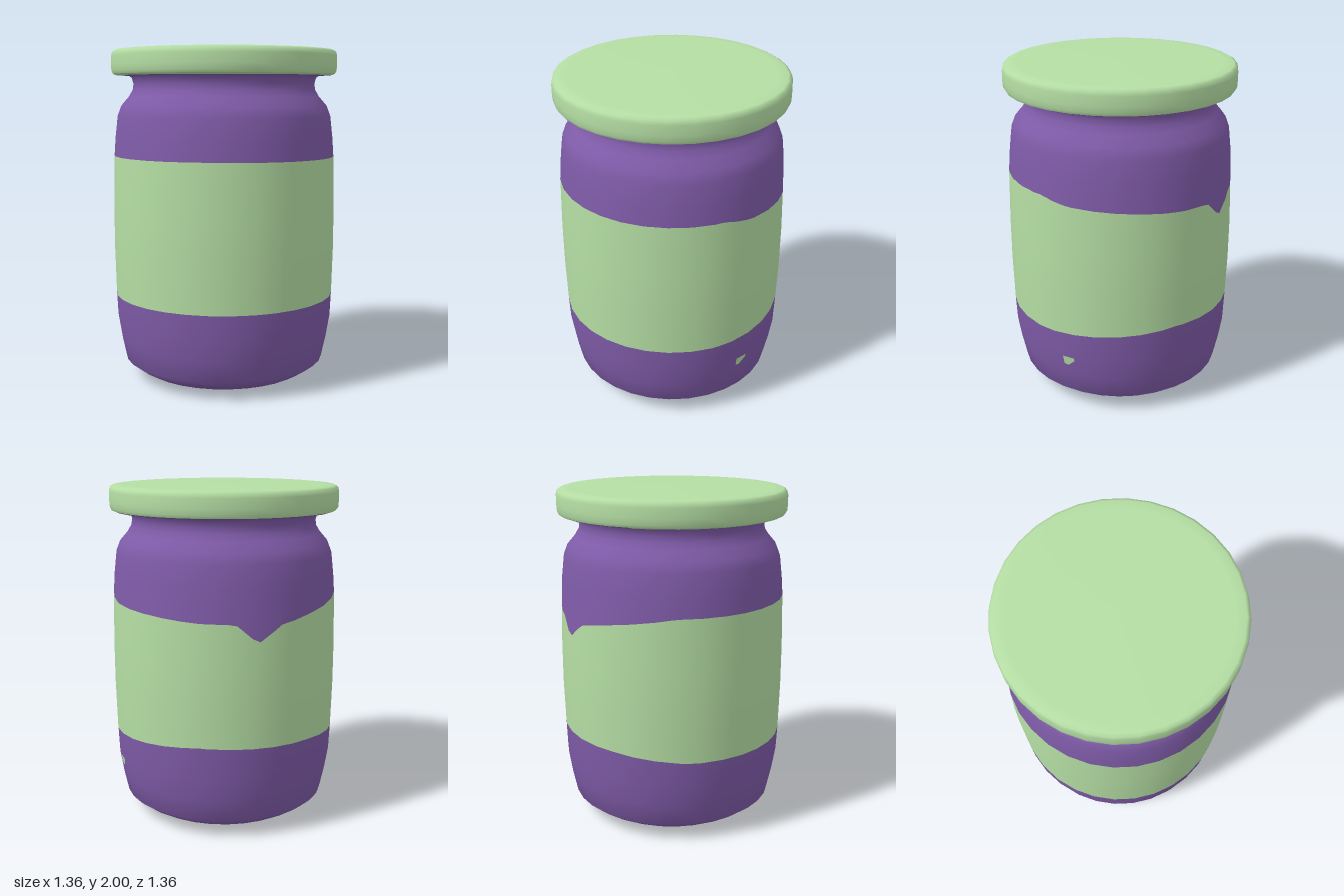
import * as THREE from 'three';

const RAD = Math.PI / 180;
const SIDES = 32;

const purple = new THREE.MeshStandardMaterial({ color: 0x7f5ba8 });
purple.name = 'purple jar';
const green = new THREE.MeshStandardMaterial({ color: 0xb5dea4 });
green.name = 'pale green';

// Label edge heights as [angle from the front in degrees, y]
const labelTop = [[0, 1.365], [95, 1.355], [108, 1.325], [140, 1.305], [165, 1.285], [183, 1.28],
  [194, 1.17], [206, 1.265], [225, 1.305], [258, 1.36], [360, 1.365]];
const labelBottom = [[0, 0.515], [95, 0.515], [130, 0.54], [165, 0.57], [225, 0.555], [265, 0.515], [360, 0.515]];

function heightAt(knots, degrees) {
  let i = 1;
  while (i < knots.length - 1 && knots[i][0] < degrees) i++;
  const [a, ya] = knots[i - 1], [b, yb] = knots[i];
  return THREE.MathUtils.mapLinear(degrees, a, b, ya, yb);
}

const toPoints = (profile) => profile.map(([r, y]) => new THREE.Vector2(r, y));

function lathe(name, material, profile, segments = SIDES, start = 0, length = 360) {
  const geometry = new THREE.LatheGeometry(toPoints(profile), segments, start * RAD, length * RAD);
  const mesh = new THREE.Mesh(geometry, material);
  mesh.name = name;
  return mesh;
}

// A finely divided band of the 32-sided wall whose first and last rows may follow a label edge
function wallBand(name, material, profile, firstEdge, lastEdge) {
  const segments = SIDES * 3;
  const mesh = lathe(name, material, profile, segments);
  const position = mesh.geometry.attributes.position;
  const rows = profile.length;
  const half = Math.PI / SIDES;
  for (let i = 0; i < position.count; i++) {
    const row = i % rows;
    const angle = Math.floor(i / rows) / segments * Math.PI * 2;
    const facet = Math.cos(half) / Math.cos(angle % (2 * half) - half);
    position.setX(i, position.getX(i) * facet);
    position.setZ(i, position.getZ(i) * facet);
    if (row === 0 && firstEdge) position.setY(i, heightAt(firstEdge, angle / RAD));
    if (row === rows - 1 && lastEdge) position.setY(i, heightAt(lastEdge, angle / RAD));
  }
  return mesh;
}

// Small patch of label colour lying on the right-hand wall, outlined in z and y
function patch() {
  const outline = [[0.175, 0.365], [0.175, 0.31], [0.2, 0.303], [0.245, 0.345], [0.245, 0.365]];
  const geometry = new THREE.ShapeGeometry(new THREE.Shape(toPoints(outline)));
  const position = geometry.attributes.position;
  for (let i = 0; i < position.count; i++) {
    const z = -position.getX(i), y = position.getY(i);
    const radius = 0.661 - Math.max(0, 0.37 - y) * 0.19;
    position.setXYZ(i, Math.sqrt(radius * radius - z * z) + 0.003, y, z);
  }
  geometry.computeVertexNormals();
  const mesh = new THREE.Mesh(geometry, green);
  mesh.name = 'labelPatch';
  return mesh;
}

export function createModel() {
  const jar = new THREE.Group();
  jar.name = 'jar';

  // Glass wall and label
  jar.add(wallBand('lowerJar', purple,
    [[0, 0], [0.5, 0.035], [0.56, 0.07], [0.612, 0.11], [0.64, 0.24], [0.661, 0.37], [0.668, 0.515]],
    null, labelBottom));
  jar.add(wallBand('label', green,
    [[0.668, 0.515], [0.675, 0.8], [0.675, 1.05], [0.668, 1.365]], labelBottom, labelTop));
  jar.add(wallBand('upperJar', purple,
    [[0.668, 1.365], [0.66, 1.47], [0.645, 1.6], [0.622, 1.66], [0.575, 1.715], [0.552, 1.755],
      [0.547, 1.79], [0.557, 1.825], [0.575, 1.838], [0.62, 1.84]], labelTop, null));
  jar.add(patch());

  // Lid with a two-tone underside
  jar.add(lathe('lid', green,
    [[0.668, 1.848], [0.678, 1.865], [0.68, 1.9], [0.68, 1.955], [0.673, 1.98], [0.655, 1.99], [0.6, 1.995], [0, 2]]));
  const underside = [[0.61, 1.84], [0.65, 1.841], [0.668, 1.848]];
  jar.add(lathe('lidUndersideBack', purple, underside, 13, 90, 146.25));
  jar.add(lathe('lidUndersideFront', green, underside, 19, 236.25, 213.75));

  return jar;
}
